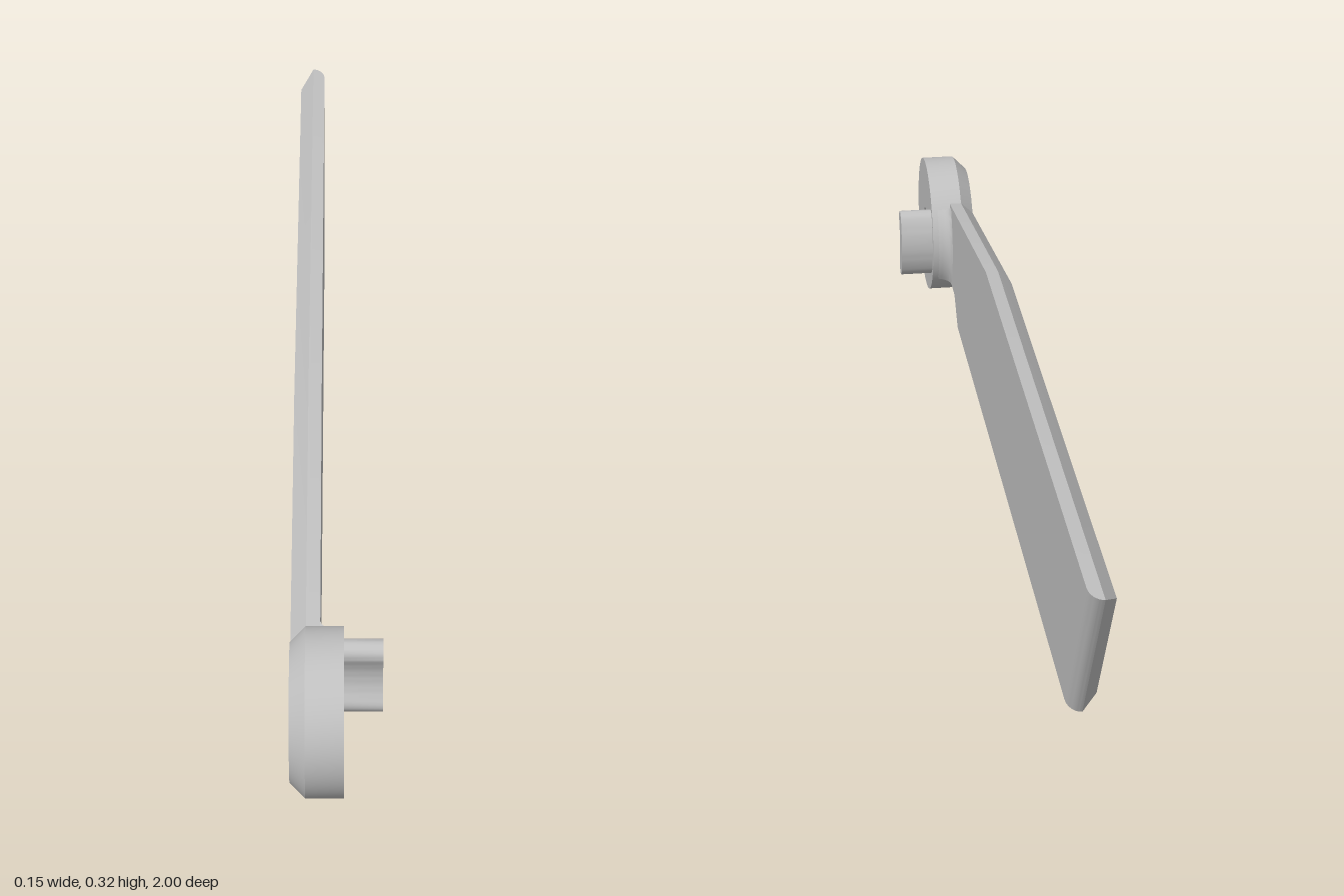
import * as THREE from 'three';
import { toCreasedNormals } from 'three/addons/utils/BufferGeometryUtils.js';

const HUB = { u: -0.864, y: 0.137, r: 0.136 };

// Outlines are counter-clockwise [u, y] pairs with u = -z; layers run from low x to high x.
function loft(layers, crease = 0.5) {
  const pos = [];
  const put = (layer, i) => pos.push(layer.x, layer.pts[i][1], -layer.pts[i][0]);
  const n = layers[0].pts.length;
  for (let k = 0; k < layers.length - 1; k++) {
    const a = layers[k], b = layers[k + 1];
    for (let i = 0; i < n; i++) {
      const j = (i + 1) % n;
      put(a, i); put(a, j); put(b, j);
      put(a, i); put(b, j); put(b, i);
    }
  }
  const cap = (layer, flip) => {
    const contour = layer.pts.map(p => new THREE.Vector2(p[0], p[1]));
    for (const [a, b, c] of THREE.ShapeUtils.triangulateShape(contour, [])) {
      for (const i of flip ? [a, c, b] : [a, b, c]) put(layer, i);
    }
  };
  cap(layers[0], true);
  cap(layers[layers.length - 1], false);
  const g = new THREE.BufferGeometry();
  g.setAttribute('position', new THREE.Float32BufferAttribute(pos, 3));
  return toCreasedNormals(g, crease);
}

// Moves every edge of an outline inward by d
function inset(pts, d) {
  const n = pts.length;
  const dir = (a, b) => new THREE.Vector2(b[0] - a[0], b[1] - a[1]).normalize();
  return pts.map((p, i) => {
    const e = dir(pts[(i + n - 1) % n], p), f = dir(p, pts[(i + 1) % n]);
    const k = d / (1 + e.dot(f));
    return [p[0] - (e.y + f.y) * k, p[1] + (e.x + f.x) * k];
  });
}

// Arc of points about a centre
function arc(cu, cy, r, from, to, steps) {
  return Array.from({ length: steps + 1 }, (_, i) => {
    const t = from + (to - from) * i / steps;
    return [cu + r * Math.cos(t), cy + r * Math.sin(t)];
  });
}

export function createModel() {
  const group = new THREE.Group();
  const grey = new THREE.MeshStandardMaterial({ color: 0xc0c0c0 });
  grey.name = 'lightGrey';
  const add = (name, geometry) => {
    const mesh = new THREE.Mesh(geometry, grey);
    mesh.name = name;
    group.add(mesh);
    return mesh;
  };

  // Blade: chamfered on the outer side, slanted tip rounded on the inner side
  const outline = [
    [-0.8, 0.052], [-0.688, 0.052], [-0.637, 0.002], [0.81, 0.002],
    [1, 0.323], [-0.2, 0.323], [-0.8, 0.216],
  ];
  const layers = [{ x: -0.075, pts: inset(outline, 0.025) }];
  const steps = 8;
  for (let i = 0; i <= steps; i++) {
    const a = (i / steps) * Math.PI / 2;
    const back = 0.04 * (1 - Math.cos(a));
    layers.push({
      x: -0.05 + 0.023 * Math.sin(a),
      pts: outline.map(([u, y], k) => [k === 3 || k === 4 ? u - back : u, y]),
    });
  }
  add('blade', loft(layers));

  // Hub disc: chamfered rim, bore and wider counterbore
  const profile = [
    [0.052, -0.075], [0.111, -0.075], [HUB.r, -0.05], [HUB.r, 0.011],
    [0.033, 0.011], [0.033, -0.035], [0.052, -0.035], [0.052, -0.075],
  ].map(([r, x]) => new THREE.Vector2(r, x));
  const hub = new THREE.LatheGeometry(profile, 64).rotateZ(-Math.PI / 2);
  hub.translate(0, HUB.y, -HUB.u);
  add('hub', toCreasedNormals(hub.toNonIndexed(), 0.5));

  // Concave fillet blending the hub into the blade
  const fillet = [];
  for (let i = 0; i <= 6; i++) {
    const a = (i / 6) * Math.PI / 2;
    const r = 0.152 - 0.017 * Math.sin(a);
    fillet.push({
      x: 0.011 - 0.038 * Math.cos(a),
      pts: [
        ...arc(HUB.u, HUB.y, r, -0.6, 0.6, 16),
        ...arc(HUB.u, HUB.y, 0.125, 0.6, -0.6, 16),
      ],
    });
  }
  fillet[6].x = 0.0105;
  add('neckFillet', loft(fillet, 0.6));

  // Curved stop pin with rounded ends
  const mid = 0.105, half = 0.02, sweep = 0.49;
  const end = s => [HUB.u + mid * Math.cos(sweep), HUB.y + s * mid * Math.sin(sweep)];
  const pin = [
    ...arc(HUB.u, HUB.y, mid + half, -sweep, sweep, 14),
    ...arc(...end(1), half, sweep, sweep + Math.PI, 10).slice(1, -1),
    ...arc(HUB.u, HUB.y, mid - half, sweep, -sweep, 14),
    ...arc(...end(-1), half, Math.PI - sweep, 2 * Math.PI - sweep, 10).slice(1, -1),
  ];
  add('stopPin', loft([{ x: 0.005, pts: pin }, { x: 0.074, pts: pin }], 0.6));

  return group;
}
